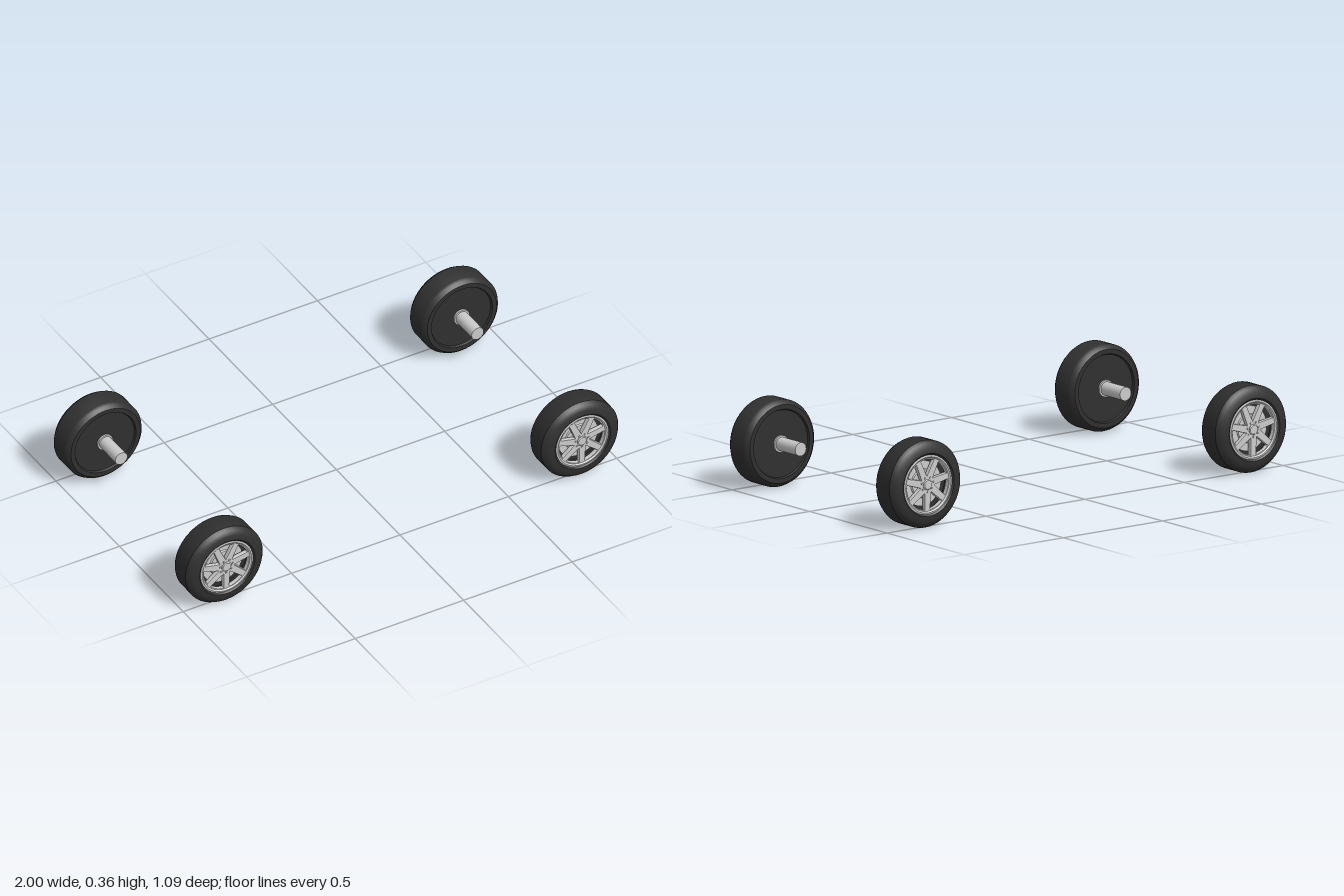
import * as THREE from 'three';
import { toCreasedNormals } from 'three/addons/utils/BufferGeometryUtils.js';

const SPOKES = 7;
const rubber = new THREE.MeshStandardMaterial({ color: 0x303030 });
const metal = new THREE.MeshStandardMaterial({ color: 0xcccccc });

function part(name, geometry, material) {
  const mesh = new THREE.Mesh(geometry, material);
  mesh.name = name;
  return mesh;
}

// Turn an [radius, z] profile around the wheel axis, listed from back to front
function turned(profile, segments = 48) {
  const points = profile.map(([r, z]) => new THREE.Vector2(r, z));
  return toCreasedNormals(new THREE.LatheGeometry(points, segments).rotateX(Math.PI / 2), 0.5);
}

// Rim face: a disc with tapered openings that leave the spokes standing
function spokedFace() {
  const shape = new THREE.Shape().absarc(0, 0, 0.118, 0, Math.PI * 2);
  const inner = 0.034, outer = 0.104, halfSpoke = 0.012;
  for (let i = 0; i < SPOKES; i++) {
    const mid = -Math.PI / 2 + ((i + 0.5) / SPOKES) * Math.PI * 2;
    const a = Math.PI / SPOKES - Math.asin(halfSpoke / inner);
    const b = Math.PI / SPOKES - Math.asin(halfSpoke / outer);
    const hole = new THREE.Path();
    hole.moveTo(inner * Math.cos(mid - a), inner * Math.sin(mid - a));
    hole.absarc(0, 0, outer, mid - b, mid + b, false);
    hole.lineTo(inner * Math.cos(mid + a), inner * Math.sin(mid + a));
    hole.closePath();
    shape.holes.push(hole);
  }
  return new THREE.ExtrudeGeometry(shape, {
    depth: 0.012, curveSegments: 24,
    bevelEnabled: true, bevelSize: 0.002, bevelThickness: 0.003, bevelSegments: 1,
  });
}

// One wheel around the z axis, its outer face toward +z
function createWheel() {
  const wheel = new THREE.Group();

  // Tyre with chamfered shoulders, closed back and dished front
  wheel.add(part('tyre', turned([
    [0, -0.056], [0.137, -0.056], [0.141, -0.065], [0.16, -0.065], [0.172, -0.054],
    [0.178, -0.042], [0.178, 0.04], [0.168, 0.054], [0.15, 0.064], [0.128, 0.066],
    [0.121, 0.06], [0.119, 0.015], [0, 0.015],
  ]), rubber));

  // Rim ring, spokes and hub cap
  wheel.add(part('rim', turned([
    [0.106, 0.04], [0.121, 0.04], [0.121, 0.061], [0.114, 0.063], [0.106, 0.056], [0.106, 0.04],
  ]), metal));
  const face = part('spokes', spokedFace(), metal);
  face.position.z = 0.043;
  wheel.add(face);
  wheel.add(part('hubCap', turned([
    [0.022, 0.05], [0.022, 0.06], [0.018, 0.063], [0, 0.063],
  ], 24), metal));

  // Brake disc seen between the spokes
  wheel.add(part('brakeDisc', turned([
    [0.092, 0.01], [0.092, 0.027], [0.06, 0.027], [0.056, 0.032], [0, 0.032],
  ]), metal));

  // Wheel bolts, one at the root of each spoke
  for (let i = 0; i < SPOKES; i++) {
    const a = -Math.PI / 2 + (i / SPOKES) * Math.PI * 2;
    const bolt = part('bolt', new THREE.CylinderGeometry(0.004, 0.004, 0.006, 6).rotateX(Math.PI / 2), metal);
    bolt.position.set(0.03 * Math.cos(a), 0.03 * Math.sin(a), 0.059);
    wheel.add(bolt);
  }

  // Stub axle and its collar on the inner side
  const axle = part('axle', new THREE.CylinderGeometry(0.028, 0.028, 0.136, 24).rotateX(Math.PI / 2), metal);
  axle.position.z = -0.12;
  const collar = part('axleCollar', new THREE.CylinderGeometry(0.035, 0.035, 0.012, 24).rotateX(Math.PI / 2), metal);
  collar.position.z = -0.058;
  wheel.add(axle, collar);
  return wheel;
}

export function createModel() {
  const model = new THREE.Group();
  model.name = 'wheelSet';
  const places = [
    ['frontLeftWheel', 0.82, 0.475],
    ['frontRightWheel', -0.82, 0.475],
    ['backLeftWheel', 0.82, -0.474],
    ['backRightWheel', -0.82, -0.48],
  ];
  for (const [name, x, z] of places) {
    const wheel = createWheel();
    wheel.name = name;
    wheel.position.set(x, 0.181, z);
    if (z < 0) wheel.rotation.y = Math.PI;
    model.add(wheel);
  }
  return model;
}
